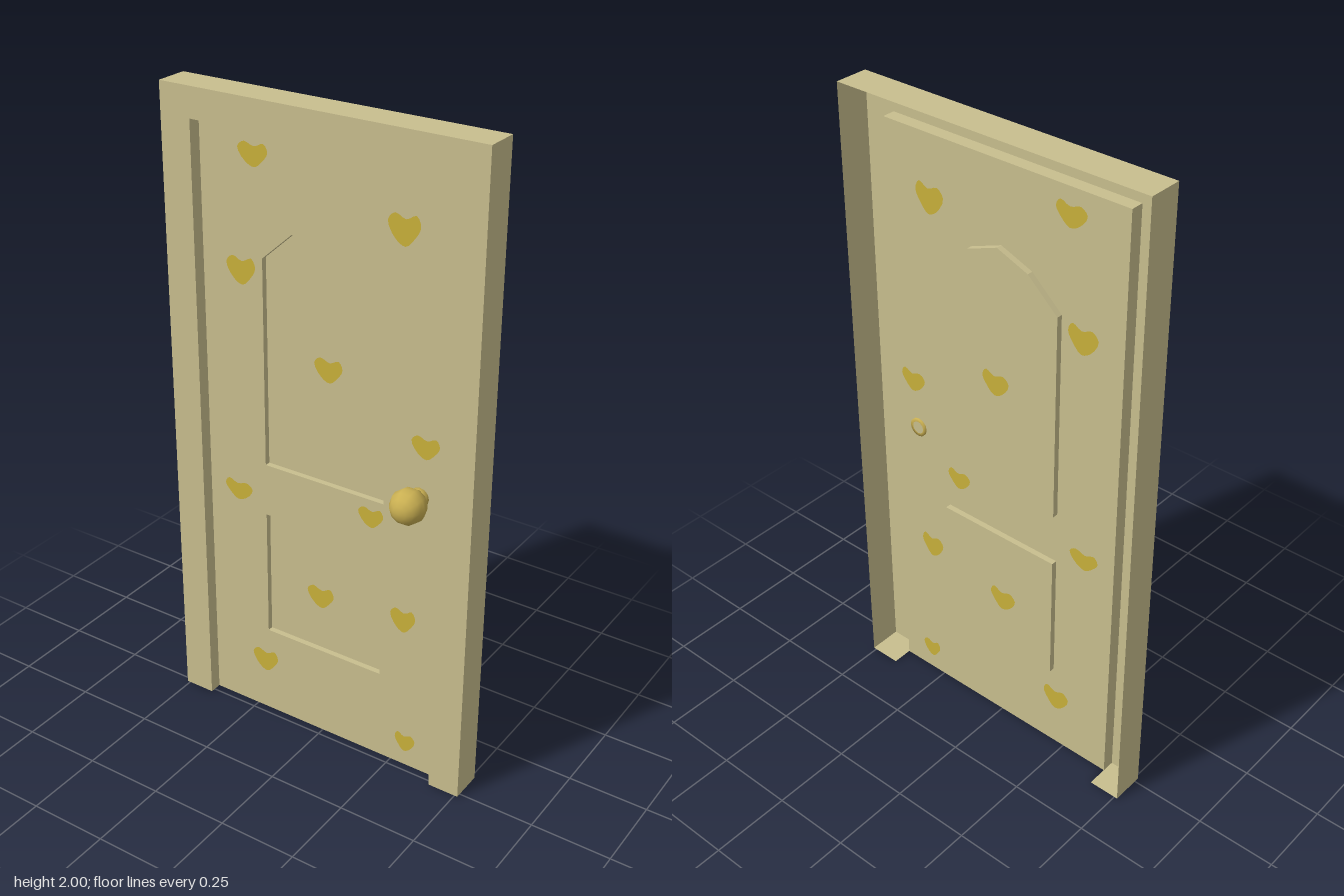
import * as THREE from 'three';

const wood = new THREE.MeshStandardMaterial({ color: 0xc8be8e, side: THREE.DoubleSide });
wood.name = 'paintedWood';
const ochre = new THREE.MeshStandardMaterial({ color: 0xc8b03a, side: THREE.DoubleSide });
ochre.name = 'ochreSpots';
const brass = new THREE.MeshStandardMaterial({ color: 0xcab052, side: THREE.DoubleSide });
brass.name = 'brass';

const FRONT = 0.015, BACK = -0.09, DOOR = -0.025, PANEL = -0.043;
const toVectors = (points) => points.map(([x, y]) => new THREE.Vector2(x, y));

function addMesh(parent, name, geometry, material) {
  const mesh = new THREE.Mesh(geometry, material);
  mesh.name = name;
  parent.add(mesh);
  return mesh;
}

// Flat sheet at depth z, with optional holes
function sheet(points, z, holes = []) {
  const shape = new THREE.Shape(toVectors(points));
  for (const h of holes) shape.holes.push(new THREE.Path(toVectors(h)));
  return new THREE.ShapeGeometry(shape).translate(0, 0, z);
}

// Ribbon of flat quads along an outline, from depth z0 to z1
function wall(points, z0, z1, closed) {
  const pos = [];
  const n = closed ? points.length : points.length - 1;
  for (let i = 0; i < n; i++) {
    const [ax, ay] = points[i];
    const [bx, by] = points[(i + 1) % points.length];
    pos.push(ax, ay, z0, bx, by, z0, bx, by, z1, ax, ay, z0, bx, by, z1, ax, ay, z1);
  }
  const g = new THREE.BufferGeometry();
  g.setAttribute('position', new THREE.Float32BufferAttribute(pos, 3));
  g.computeVertexNormals();
  return g;
}

export function createModel() {
  const model = new THREE.Group();
  model.name = 'door';

  // Frame: a thin shell, open at the back
  const outer = [[0.51, 0], [0.51, 2], [-0.51, 2], [-0.51, 0]];
  const opening = [[-0.41, 0], [-0.41, 1.91], [0.41, 1.91], [0.41, 0]];
  const frame = new THREE.Group();
  frame.name = 'frame';
  model.add(frame);
  addMesh(frame, 'frameFace', sheet([...outer, ...opening], FRONT), wood);
  addMesh(frame, 'frameSides', wall(outer, FRONT, BACK, false), wood);
  addMesh(frame, 'frameReveal', wall(opening, FRONT, DOOR, false), wood);
  for (const side of [-1, 1]) {
    const foot = new THREE.PlaneGeometry(0.1, FRONT - BACK).rotateX(Math.PI / 2);
    addMesh(frame, 'postFoot', foot, wood).position.set(side * 0.46, 0, (FRONT + BACK) / 2);
  }

  // Door leaf with an arched and a square sunken panel
  const upper = [[-0.205, 0.89], [0.205, 0.89], [0.205, 1.54], [0.105, 1.63],
    [0, 1.67], [-0.105, 1.63], [-0.205, 1.54]];
  const lower = [[-0.205, 0.3], [0.205, 0.3], [0.205, 0.72], [-0.205, 0.72]];
  const leaf = new THREE.Group();
  leaf.name = 'doorLeaf';
  model.add(leaf);
  addMesh(leaf, 'leafSheet', sheet(opening, DOOR, [upper, lower]), wood);
  for (const [name, outline] of [['upperPanel', upper], ['lowerPanel', lower]]) {
    addMesh(leaf, name, sheet(outline, PANEL), wood);
    addMesh(leaf, name + 'Edge', wall(outline, DOOR, PANEL, true), wood);
  }

  // Spots on both faces: x, y, width, height, mirror, depth
  const spots = [
    [-0.23, 1.833, 0.1, 0.07, 1, DOOR],
    [0.25, 1.72, 0.1, 0.09, 1, DOOR],
    [-0.278, 1.49, 0.1, 0.085, 1, DOOR],
    [0.005, 1.247, 0.095, 0.075, 1, PANEL],
    [0.336, 1.11, 0.09, 0.07, 1, DOOR],
    [0.164, 0.833, 0.085, 0.065, 1, DOOR],
    [-0.304, 0.775, 0.1, 0.065, -1, DOOR],
    [-0.02, 0.483, 0.095, 0.075, 1, PANEL],
    [0.28, 0.523, 0.085, 0.08, 1, DOOR],
    [-0.217, 0.183, 0.095, 0.08, 1, DOOR],
    [0.3, 0.085, 0.07, 0.065, -1, DOOR],
  ];
  const blob = new THREE.CatmullRomCurve3([[-0.5, 0.2], [-0.28, 0.47], [0.05, 0.33], [0.36, 0.5],
    [0.5, 0.18], [0.33, -0.2], [0.05, -0.5], [-0.25, -0.33]]
    .map(([x, y]) => new THREE.Vector3(x, y, 0)), true).getPoints(24).slice(0, -1);
  const spotGroup = new THREE.Group();
  spotGroup.name = 'spots';
  model.add(spotGroup);
  for (const [x, y, w, h, flip, z] of spots) {
    const points = blob.map((p) => [x + p.x * w * flip, y + p.y * h]);
    for (const side of [1, -1]) {
      const g = sheet(points, 0);
      if (side < 0) g.scale(-1, 1, 1).rotateY(Math.PI);
      addMesh(spotGroup, 'spot', g, ochre).position.z = z + side * 0.002;
    }
  }
  // Rear spots share the same outline but face backwards
  for (const spot of spotGroup.children.filter((_, i) => i % 2)) {
    const { index } = spot.geometry;
    for (let i = 0; i < index.count; i += 3) {
      const a = index.getX(i);
      index.setX(i, index.getX(i + 1));
      index.setX(i + 1, a);
    }
  }

  // Knob with a flared stem that passes through the leaf
  const knob = new THREE.Group();
  knob.name = 'knob';
  knob.position.set(0.322, 0.952, 0);
  model.add(knob);
  const ball = new THREE.SphereGeometry(0.054, 10, 8).rotateX(Math.PI / 2);
  addMesh(knob, 'knobBall', ball, brass).position.z = 0.036;
  const stem = new THREE.LatheGeometry(
    toVectors([[0.02, -0.03], [0.03, -0.03], [0.03, -0.012], [0.022, 0]]), 12).rotateX(Math.PI / 2);
  addMesh(knob, 'knobStem', stem, brass);
  return model;
}
